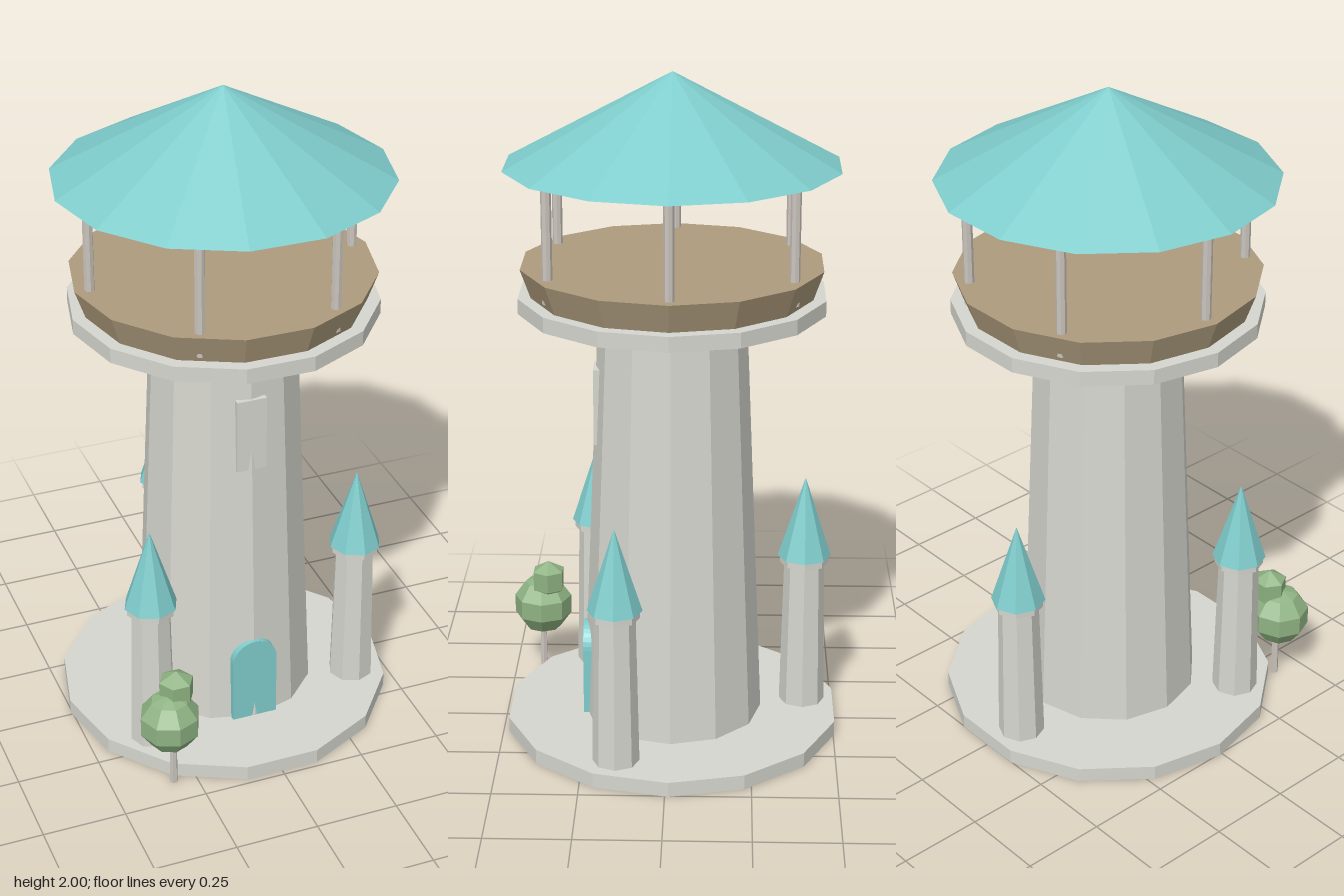
import * as THREE from 'three';

const mat = (name, color) => {
  const m = new THREE.MeshStandardMaterial({ color, flatShading: true });
  m.name = name;
  return m;
};

export function createModel() {
  const stone = mat('stone', 0xd6d6cf);
  const teal = mat('teal', 0x7fcccc);
  const wood = mat('wood', 0xad9b7d);
  const post = mat('post', 0xcac4bd);
  const leaf = mat('leaf', 0x8fb383);

  const model = new THREE.Group();
  model.name = 'watchtower';
  const CZ = -0.01; // the tower axis sits a little behind the centre

  const add = (parent, name, geometry, material, x = 0, y = 0, z = 0) => {
    const mesh = new THREE.Mesh(geometry, material);
    mesh.name = name;
    mesh.position.set(x, y, z);
    parent.add(mesh);
    return mesh;
  };
  // Faceted drum or cone between two heights, with a corner on +x
  const drum = (parent, name, material, rTop, rBottom, y0, y1, sides, x = 0, z = 0) => {
    const g = rTop === 0
      ? new THREE.ConeGeometry(rBottom, y1 - y0, sides, 1, false, Math.PI / 2)
      : new THREE.CylinderGeometry(rTop, rBottom, y1 - y0, sides, 1, false, Math.PI / 2);
    return add(parent, name, g, material, x, (y0 + y1) / 2, z);
  };

  // Main tower
  const tower = new THREE.Group();
  tower.name = 'tower';
  tower.position.z = CZ;
  model.add(tower);
  drum(tower, 'base', stone, 0.505, 0.505, 0, 0.045, 14);
  drum(tower, 'shaft', stone, 0.215, 0.27, 0.045, 1.32, 12);
  drum(tower, 'gallerySlab', stone, 0.45, 0.45, 1.32, 1.365, 14);
  drum(tower, 'galleryDeck', wood, 0.442, 0.412, 1.365, 1.45, 14);
  drum(tower, 'roof', teal, 0, 0.487, 1.735, 2, 14);

  // Six posts carrying the roof
  for (let i = 0; i < 6; i++) {
    const a = (i * Math.PI) / 3;
    drum(tower, 'roofPost', post, 0.015, 0.015, 1.38, 1.74, 8, 0.398 * Math.cos(a), 0.398 * Math.sin(a));
  }

  // Three small turrets around the base
  for (let i = 0; i < 3; i++) {
    const a = 0.4 + (i * 2 * Math.PI) / 3;
    const turret = new THREE.Group();
    turret.name = 'turret';
    turret.position.set(0.4 * Math.cos(a), 0, 0.4 * Math.sin(a));
    tower.add(turret);
    drum(turret, 'turretShaft', stone, 0.06, 0.069, 0.045, 0.505, 8);
    drum(turret, 'turretRing', stone, 0.073, 0.073, 0.5, 0.525, 8);
    drum(turret, 'turretRoof', teal, 0, 0.08, 0.522, 0.772, 8);
  }

  // Arched door
  const arch = new THREE.Shape();
  arch.moveTo(-0.07, 0.045);
  arch.lineTo(0.07, 0.045);
  arch.lineTo(0.07, 0.25);
  arch.absarc(0, 0.25, 0.07, 0, Math.PI, false);
  arch.closePath();
  const doorGeo = new THREE.ExtrudeGeometry(arch, { depth: 0.04, bevelEnabled: false, curveSegments: 8 });
  add(model, 'door', doorGeo, teal, 0, 0, 0.218);

  // Blind window on the shaft
  add(model, 'window', new THREE.BoxGeometry(0.09, 0.23, 0.03), stone, 0, 1.02, 0.205);

  // Tree beside the door
  const tree = new THREE.Group();
  tree.name = 'tree';
  model.add(tree);
  drum(tree, 'trunk', post, 0.01, 0.012, 0, 0.2, 6, -0.318, 0.41);
  add(tree, 'lowerCrown', new THREE.SphereGeometry(0.094, 8, 5), leaf, -0.328, 0.228, 0.41);
  add(tree, 'upperCrown', new THREE.SphereGeometry(0.06, 6, 3), leaf, -0.3, 0.325, 0.39);

  return model;
}
